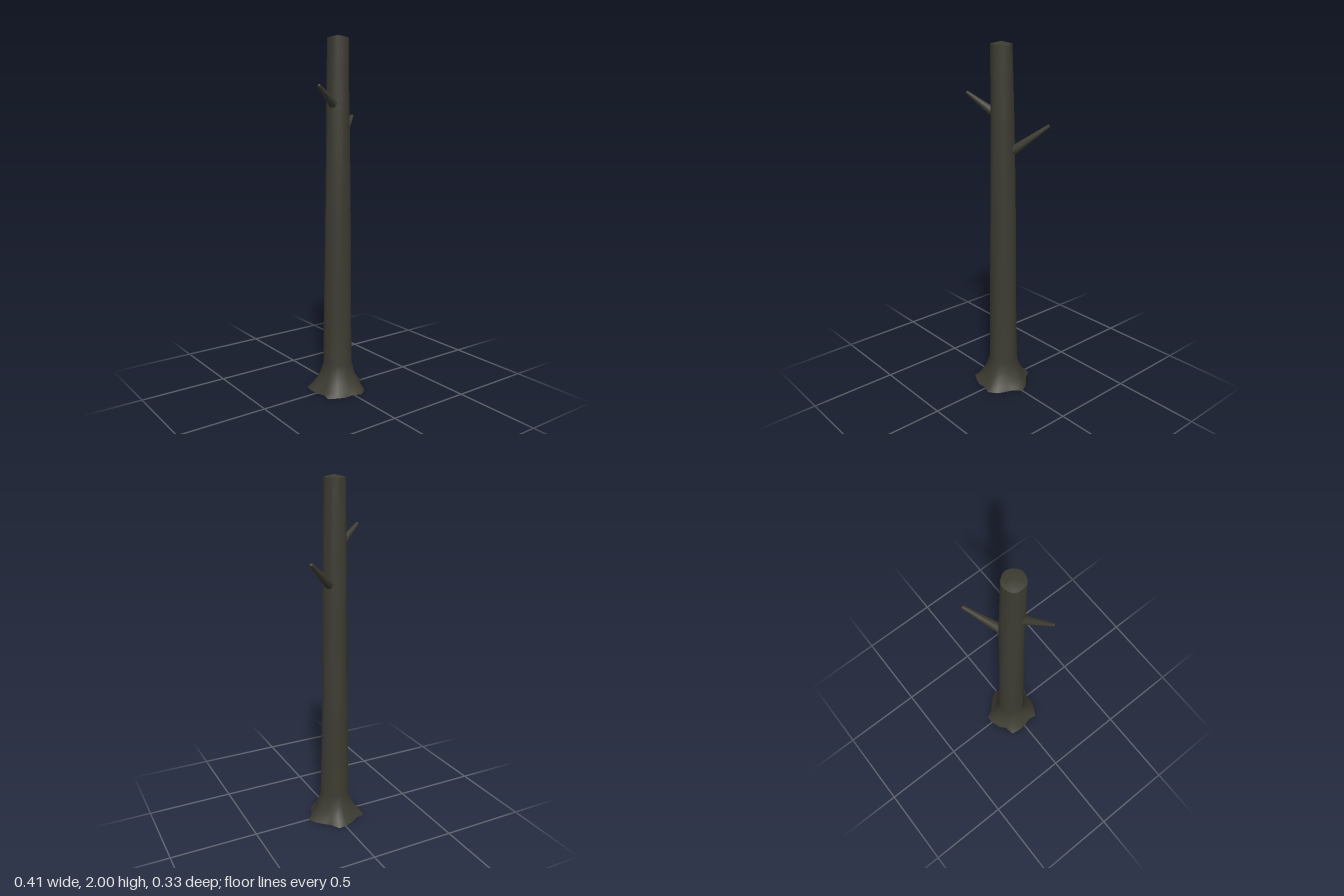
import * as THREE from 'three';

const SIDES = 20;

// Outline of the spreading roots on the ground, as x, z pairs
const ROOTS = [
  [0.165, 0], [0.14, -0.05], [0.1, -0.09], [0.073, -0.113], [0.043, -0.166],
  [-0.01, -0.16], [-0.06, -0.142], [-0.095, -0.113], [-0.153, -0.102], [-0.163, -0.05],
  [-0.16, 0], [-0.143, 0.055], [-0.153, 0.105], [-0.105, 0.13], [-0.06, 0.148],
  [-0.01, 0.145], [0.042, 0.164], [0.087, 0.132], [0.11, 0.085], [0.123, 0.045],
];

// Trunk rings: height, radius, centre x, centre z, share of the root outline
const RINGS = [
  [0, 0.083, -0.007, 0, 1], [0.025, 0.083, -0.007, 0, 0.73],
  [0.055, 0.083, -0.007, 0, 0.46], [0.1, 0.083, -0.007, 0, 0.19],
  [0.16, 0.082, -0.007, 0, 0], [0.4, 0.079, -0.008, 0, 0],
  [0.7, 0.075, -0.008, 0, 0], [1, 0.072, -0.008, 0, 0],
  [1.3, 0.068, -0.009, 0.002, 0], [1.6, 0.064, -0.01, 0.004, 0],
  [1.85, 0.06, -0.011, 0.007, 0], [1.985, 0.058, -0.011, 0.009, 0],
];

function ringPoint([y, r, cx, cz, flare], i) {
  const [rx, rz] = ROOTS[i % SIDES];
  const a = Math.atan2(rz, rx);
  // slight bark unevenness that turns with height
  const rr = r * (1 + 0.025 * Math.sin(5 * a + y * 4));
  const x = cx + rr * Math.cos(a), z = cz + rr * Math.sin(a);
  return [x + (rx - x) * flare, y, z + (rz - z) * flare];
}

function trunkWall() {
  const pos = [], idx = [];
  RINGS.forEach(ring => {
    for (let i = 0; i < SIDES; i++) pos.push(...ringPoint(ring, i));
  });
  for (let k = 0; k < RINGS.length - 1; k++) {
    for (let i = 0; i < SIDES; i++) {
      const a = k * SIDES + i, b = k * SIDES + (i + 1) % SIDES;
      idx.push(a, b, b + SIDES, a, b + SIDES, a + SIDES);
    }
  }
  return makeGeometry(pos, idx);
}

// Fan closing one ring, raised or level at its middle
function cap(ring, centreY, up) {
  const pos = [ring[2], centreY, ring[3]], idx = [];
  for (let i = 0; i < SIDES; i++) {
    pos.push(...ringPoint(ring, i));
    const a = 1 + i, b = 1 + (i + 1) % SIDES;
    idx.push(0, up ? a : b, up ? b : a);
  }
  return makeGeometry(pos, idx);
}

function makeGeometry(pos, idx) {
  const g = new THREE.BufferGeometry();
  g.setAttribute('position', new THREE.Float32BufferAttribute(pos, 3));
  g.setIndex(idx);
  g.computeVertexNormals();
  return g;
}

// Tapered broken branch with blunt rounded ends
function branch(name, from, to, r0, r1, material) {
  const a = new THREE.Vector3(...from), dir = new THREE.Vector3(...to).sub(a);
  const len = dir.length();
  const profile = [
    [0, 0], [r0 * 0.8, 0.002], [r0, 0.01], [(r0 + r1) * 0.5, len * 0.5],
    [r1, len - 0.005], [r1 * 0.7, len], [0, len],
  ].map(p => new THREE.Vector2(...p));
  const mesh = new THREE.Mesh(new THREE.LatheGeometry(profile, 12), material);
  mesh.name = name;
  mesh.position.copy(a);
  mesh.quaternion.setFromUnitVectors(new THREE.Vector3(0, 1, 0), dir.normalize());
  return mesh;
}

export function createModel() {
  const model = new THREE.Group();
  model.name = 'deadTree';
  const bark = new THREE.MeshStandardMaterial({ color: 0x3d3c32 });
  bark.name = 'darkBark';

  const add = (name, geometry) => {
    const mesh = new THREE.Mesh(geometry, bark);
    mesh.name = name;
    model.add(mesh);
  };
  add('trunk', trunkWall());
  add('trunkTop', cap(RINGS[RINGS.length - 1], 2, true));
  add('trunkBase', cap(RINGS[0], 0, false));

  model.add(
    branch('leftBranch', [0.035, 1.425, -0.03], [0.2, 1.572, -0.143], 0.026, 0.01, bark),
    branch('rightBranch', [-0.055, 1.63, 0.028], [-0.2, 1.73, 0.095], 0.025, 0.009, bark),
  );
  return model;
}
